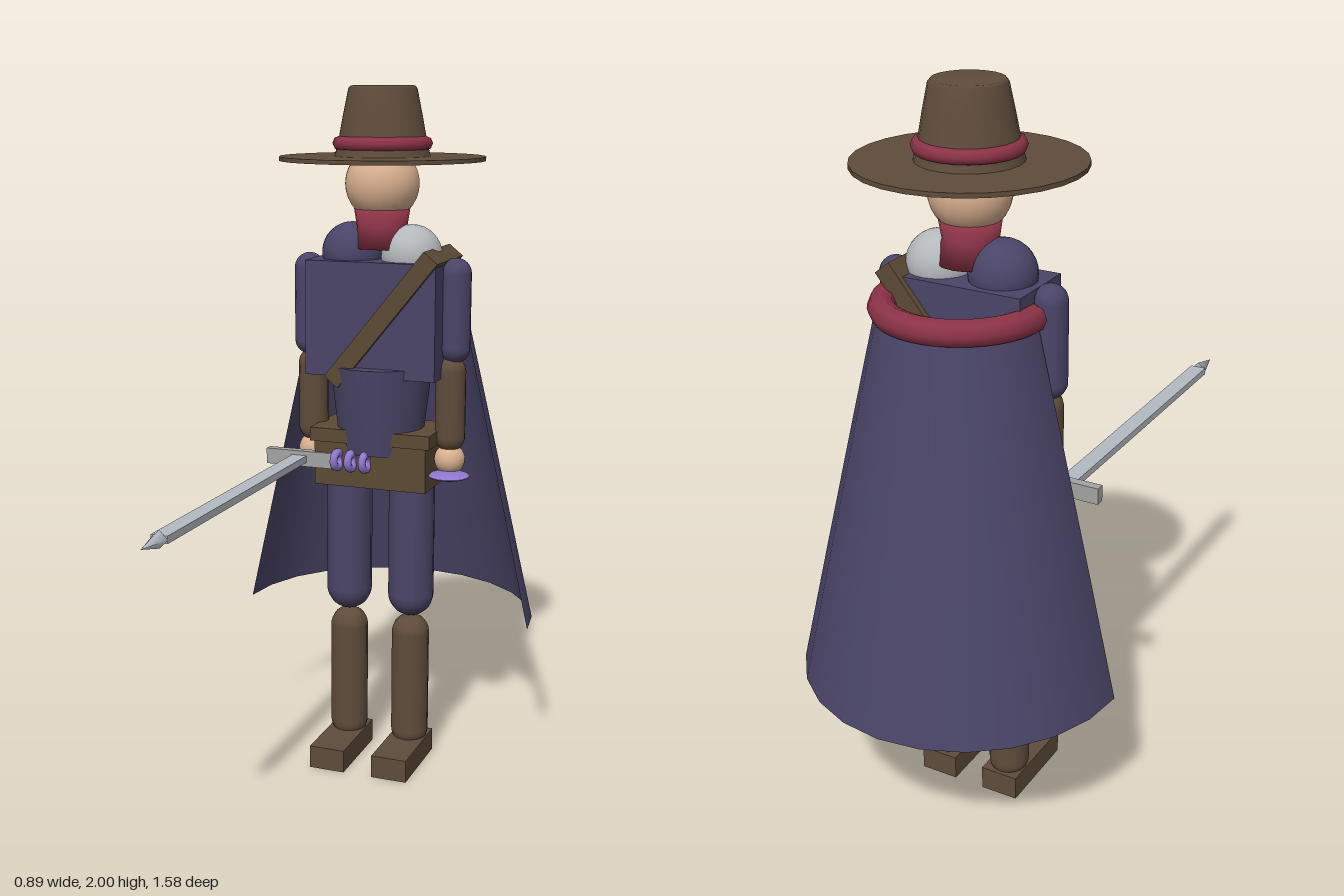
import * as THREE from 'three';

const paint = (name, color, extra = {}) => {
  const m = new THREE.MeshStandardMaterial({ color, ...extra });
  m.name = name;
  return m;
};

export function createModel() {
  const model = new THREE.Group();
  model.name = 'cloakedSwordsman';
  const navy = paint('navyCloth', 0x4a4568);
  const capeNavy = paint('capeNavy', 0x4a4568, { side: THREE.DoubleSide });
  const brown = paint('brownLeather', 0x5f4c3b);
  const tan = paint('strapLeather', 0x5c4a35);
  const red = paint('redCloth', 0x8c3347);
  const skin = paint('skin', 0xd9b08f);
  const silver = paint('silverPlate', 0xb4b8bb);
  const steel = paint('bladeSteel', 0xb3bac2);
  const guardGrey = paint('guardGrey', 0xa3a3a3);
  const purple = paint('purpleTrim', 0x9078d0);

  // Everything but the sword is centred on this depth
  const Z = -0.3;
  const add = (name, geo, mat, x, y, z = Z) => {
    const mesh = new THREE.Mesh(geo, mat);
    mesh.name = name;
    mesh.position.set(x, y, z);
    model.add(mesh);
    return mesh;
  };
  const box = (w, h, d) => new THREE.BoxGeometry(w, h, d);
  const ball = (r) => new THREE.SphereGeometry(r, 24, 16);
  // Capsule given by its total height
  const capsule = (r, h) => new THREE.CapsuleGeometry(r, h - 2 * r, 8, 16);
  const lathe = (pts, seg, start = 0, sweep = Math.PI * 2) =>
    new THREE.LatheGeometry(pts.map(([r, y]) => new THREE.Vector2(r, y)), seg, start, sweep);

  // Head, scarf and hat
  add('head', ball(0.106), skin, 0, 1.73);
  add('neckScarf', lathe([[0, 1.55], [0.088, 1.55], [0.072, 1.61], [0.08, 1.66], [0, 1.66]], 20), red, 0, 0);
  add('hatBrim', new THREE.CylinderGeometry(0.292, 0.292, 0.012, 28), brown, 0, 1.8);
  add('hatCrown', lathe([[0.138, 1.8], [0.127, 1.84], [0.112, 1.92], [0.097, 1.992], [0.09, 2], [0, 2]], 24), brown, 0, 0);
  const band = add('hatBand', new THREE.TorusGeometry(0.122, 0.02, 8, 24), red, 0, 1.842);
  band.rotation.x = Math.PI / 2;

  // Torso, waist and belt
  add('torso', box(0.39, 0.33, 0.21), navy, 0, 1.352);
  add('waist', new THREE.CylinderGeometry(0.15, 0.12, 0.255, 24), navy, 0, 1.0875);
  add('hips', box(0.34, 0.13, 0.2), tan, 0, 0.925);
  add('belt', box(0.365, 0.04, 0.21), tan, 0, 1.01);
  const strap = add('chestStrap', box(0.052, 0.47, 0.245), tan, 0.037, 1.355);
  strap.rotation.z = -0.68;

  // Shoulders: cloth on the right, plate on the left
  add('rightShoulder', ball(0.088), navy, -0.09, 1.533);
  add('leftShoulder', ball(0.088), silver, 0.09, 1.53);

  // Limbs
  for (const [side, s] of [['right', -1], ['left', 1]]) {
    add(side + 'UpperArm', capsule(0.044, 0.3), navy, s * 0.223, 1.378);
    add(side + 'Forearm', capsule(0.044, 0.28), brown, s * 0.212, 1.108);
    add(side + 'Hand', ball(0.045), skin, s * 0.212, 0.945);
    add(side + 'Thigh', capsule(0.068, 0.48), navy, s * 0.098, 0.695);
    add(side + 'Shin', capsule(0.056, 0.42), brown, s * 0.098, 0.246);
    add(side + 'Boot', box(0.108, 0.068, 0.255), brown, s * 0.098, 0.034, -0.233);
  }

  // Half-round cape hanging from a rolled collar
  add('cape', lathe([[0.445, 0.433], [0.362, 0.8], [0.27, 1.2], [0.212, 1.45]], 12, Math.PI / 2, Math.PI),
    capeNavy, 0, 0, -0.35);
  const collar = add('capeCollar', new THREE.TorusGeometry(0.2, 0.036, 8, 20, Math.PI), red, 0, 1.451, -0.345);
  collar.rotation.x = -Math.PI / 2;

  // Sword pointing forward from the right hand
  const sx = -0.215, sy = 0.934;
  add('swordBlade', box(0.046, 0.02, 0.89), steel, sx, sy, 0.245);
  const tip = add('swordTip', new THREE.ConeGeometry(0.024, 0.095, 4), steel, sx, sy, 0.737);
  tip.rotation.x = Math.PI / 2;
  add('swordGuard', box(0.205, 0.046, 0.026), guardGrey, -0.217, sy, -0.203);

  // Purple rings on the belt and a small disc at the left hand
  for (const x of [-0.095, -0.052, -0.008]) {
    const ring = add('beltRing', new THREE.TorusGeometry(0.022, 0.012, 8, 16), purple, x, 0.941, -0.188);
    ring.rotation.y = Math.PI / 2 - 0.12;
  }
  const disc = add('handDisc', ball(0.06), purple, 0.222, 0.905, -0.262);
  disc.scale.y = 0.18;

  return model;
}
